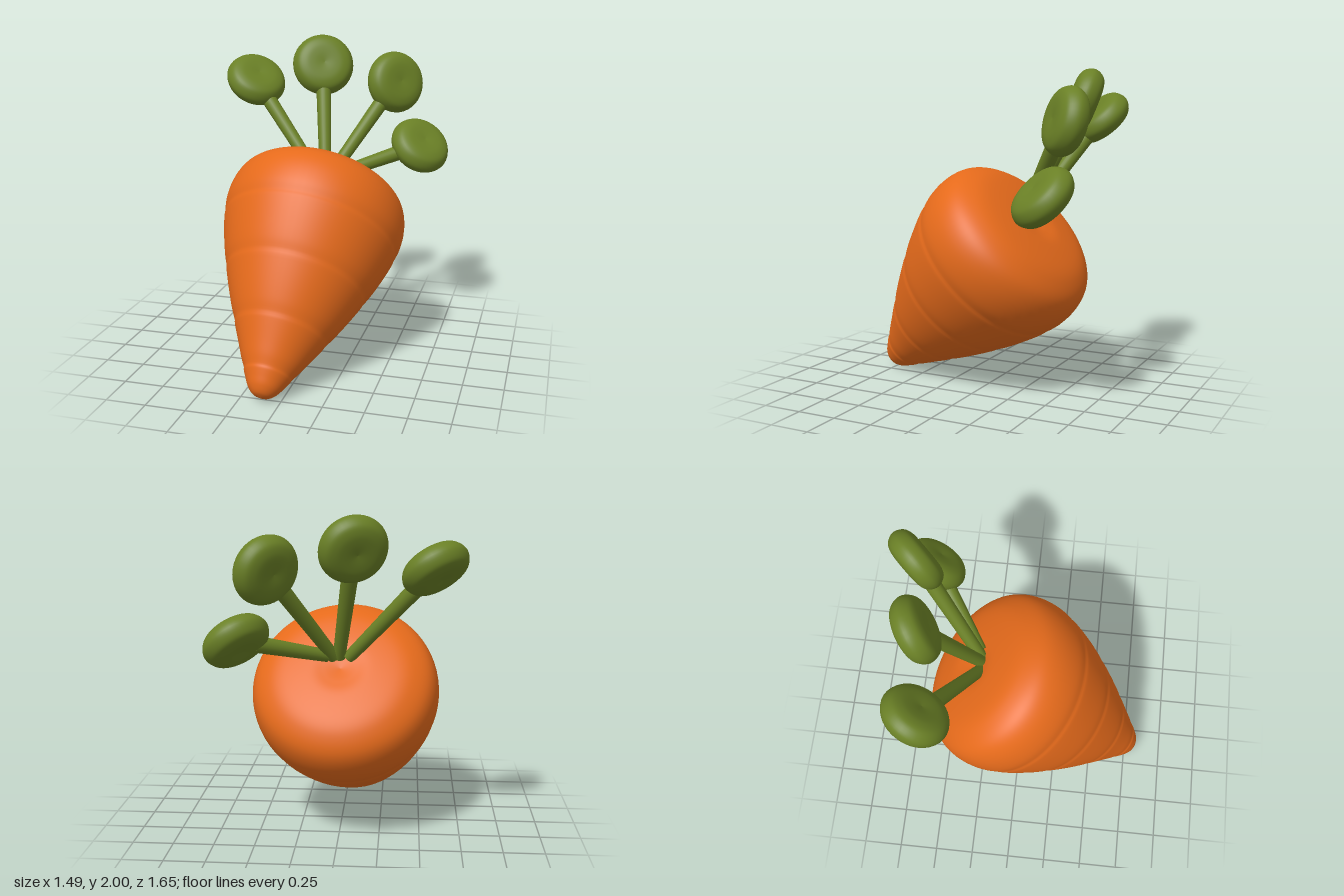
import * as THREE from 'three';

const UP = new THREE.Vector3(0, 1, 0);
const orange = new THREE.MeshStandardMaterial({ color: 0xe56a1b });
orange.name = 'carrotOrange';
const green = new THREE.MeshStandardMaterial({ color: 0x6a8026 });
green.name = 'leafGreen';

// Smooth lathe whose profile is a spline through [radius, height] points
function lathe(profile, samples, sides, carve = () => 0) {
  const curve = new THREE.SplineCurve(profile.map(([r, h]) => new THREE.Vector2(r, h)));
  const pts = curve.getPoints(samples).map((p, i) => {
    const end = i === 0 || i === samples;
    return new THREE.Vector2(end ? 0 : Math.max(0.001, p.x - carve(p.y)), p.y);
  });
  return new THREE.LatheGeometry(pts, sides);
}

function addMesh(parent, name, geometry, material) {
  const mesh = new THREE.Mesh(geometry, material);
  mesh.name = name;
  parent.add(mesh);
  return mesh;
}

export function createModel() {
  const model = new THREE.Group();
  model.name = 'carrot';

  // Root: tapered body with faint ring grooves, leaning back from its tip
  const grooves = [0.13, 0.4, 0.73, 1.07];
  const carve = (h) => grooves.reduce((sum, g) => {
    const d = h - g;
    return sum + 0.005 * Math.exp(-((d / (d < 0 ? 0.01 : 0.04)) ** 2));
  }, 0);
  const rootProfile = [
    [0, -0.022], [0.05, -0.01], [0.09, 0.025], [0.121, 0.075], [0.157, 0.14], [0.213, 0.25],
    [0.286, 0.39], [0.366, 0.55], [0.438, 0.71], [0.502, 0.87], [0.556, 1.04], [0.58, 1.17],
    [0.573, 1.29], [0.535, 1.385], [0.46, 1.45], [0.36, 1.49], [0.2, 1.51], [0.1, 1.503], [0, 1.485],
  ];
  const root = addMesh(model, 'root', lathe(rootProfile, 190, 72, carve), orange);
  root.position.set(-0.11, 0.04, 0.78);
  root.quaternion.setFromUnitVectors(UP, new THREE.Vector3(0.067, 0.685, -0.725).normalize());

  // Leaf tops: a stem and a puffy round leaf with slightly dented faces
  const leafGeometry = lathe([
    [0, -0.08], [0.07, -0.086], [0.13, -0.082], [0.178, -0.058], [0.203, 0],
    [0.178, 0.058], [0.13, 0.082], [0.07, 0.086], [0, 0.08],
  ], 40, 40);
  const sprouts = [
    { base: [-0.06, 1.12, -0.26], leaf: [-0.56, 1.69, -0.53], facing: [0.47, 0.74, 0.47] },
    { base: [0.0, 1.12, -0.255], leaf: [-0.103, 1.8, -0.58], facing: [0.36, 0.36, 0.85] },
    { base: [0.03, 1.12, -0.26], leaf: [0.375, 1.69, -0.66], facing: [0.67, 0.25, 0.7] },
    { base: [0.07, 1.13, -0.27], leaf: [0.56, 1.28, -0.605], facing: [0.53, 0.7, 0.48] },
  ];
  sprouts.forEach(({ base, leaf, facing }, i) => {
    const group = new THREE.Group();
    group.name = `sprout${i + 1}`;
    model.add(group);

    const a = new THREE.Vector3(...base);
    const b = new THREE.Vector3(...leaf);
    const dir = b.clone().sub(a);
    const length = dir.length() - 0.12;
    dir.normalize();
    const stem = addMesh(group, 'stem', new THREE.CylinderGeometry(0.05, 0.038, length, 24), green);
    stem.position.copy(a).addScaledVector(dir, length / 2);
    stem.quaternion.setFromUnitVectors(UP, dir);

    const blade = addMesh(group, 'leaf', leafGeometry, green);
    blade.position.copy(b);
    blade.quaternion.setFromUnitVectors(UP, new THREE.Vector3(...facing).normalize());
  });

  return model;
}
